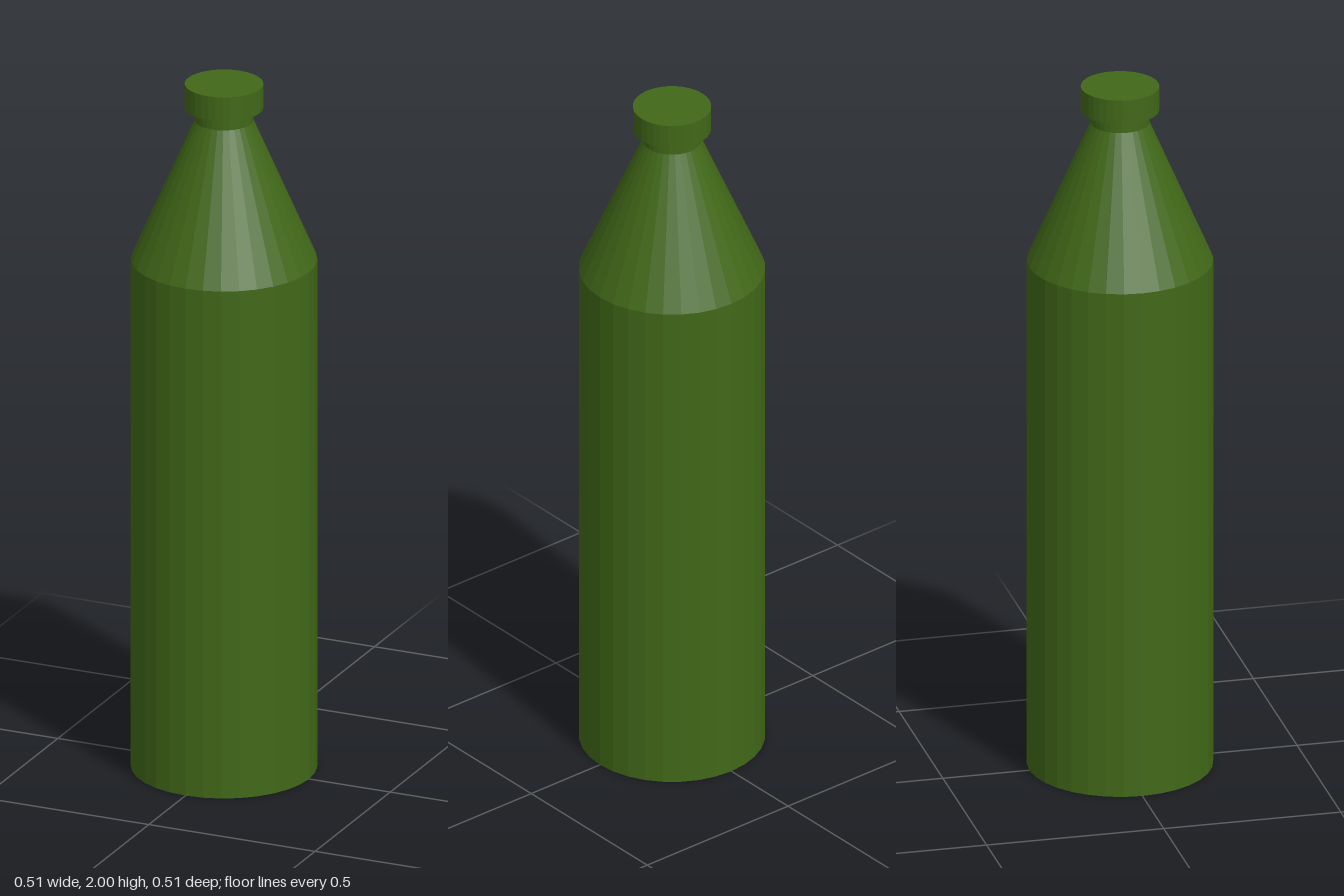
import * as THREE from 'three';

const SIDES = 32;

export function createModel() {
  const bottle = new THREE.Group();
  bottle.name = 'bottle';
  const glass = new THREE.MeshStandardMaterial({ color: 0x416818, flatShading: true });

  // One round section between two heights
  function section(name, bottomRadius, topRadius, y0, y1, open = false) {
    const geometry = new THREE.CylinderGeometry(topRadius, bottomRadius, y1 - y0, SIDES, 1, open);
    const mesh = new THREE.Mesh(geometry, glass);
    mesh.name = name;
    mesh.position.y = (y0 + y1) / 2;
    bottle.add(mesh);
  }

  // Body with a closed base
  section('body', 0.256, 0.256, 0, 1.487);
  // Tapering shoulder and short neck
  section('shoulder', 0.256, 0.081, 1.487, 1.893, true);
  section('neck', 0.081, 0.081, 1.893, 1.93, true);
  // Wider closed cap
  section('cap', 0.108, 0.108, 1.93, 2);

  return bottle;
}
